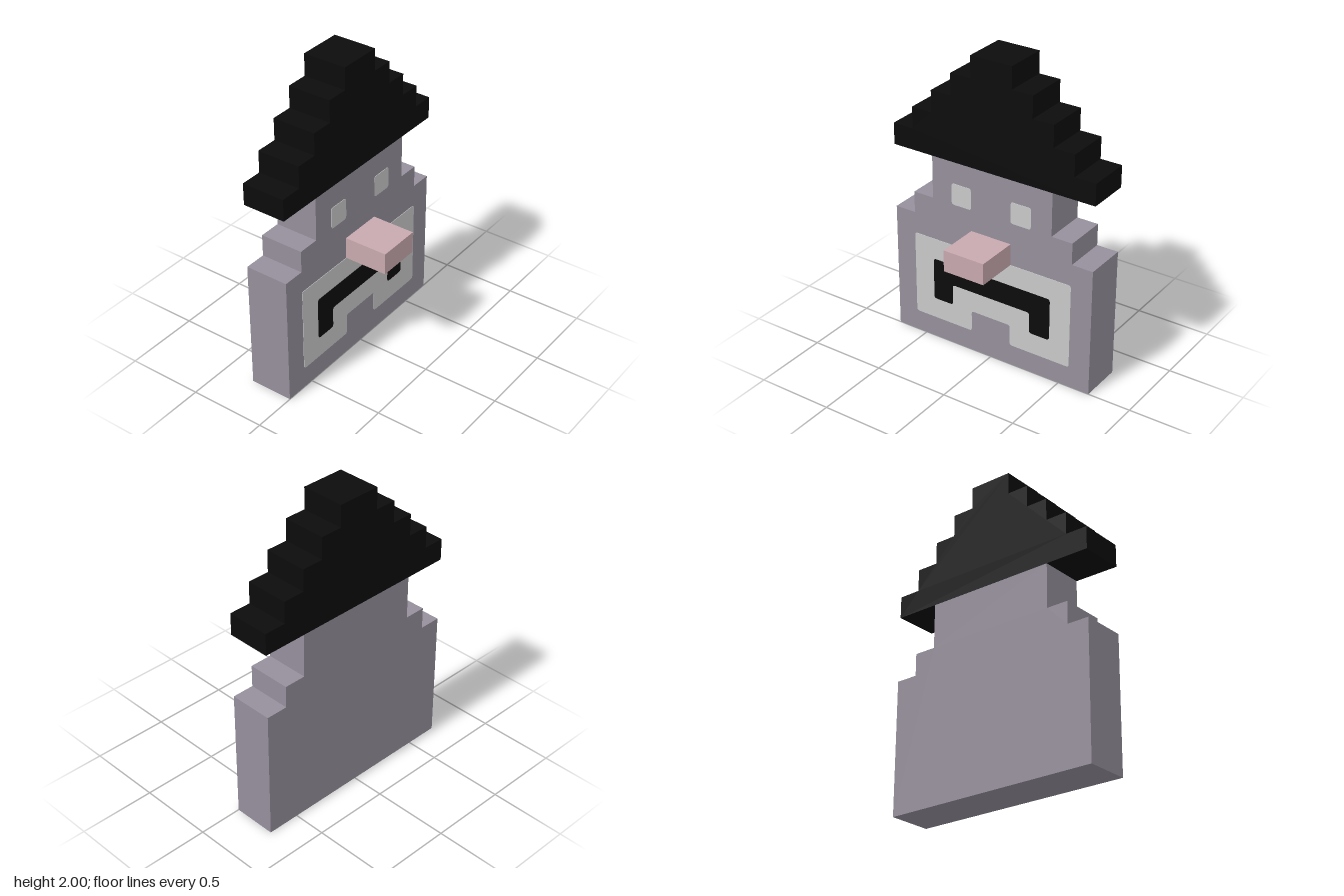
import * as THREE from 'three';

const U = 1 / 7; // one grid block

const material = (name, color) => {
  const m = new THREE.MeshStandardMaterial({ color });
  m.name = name;
  return m;
};

// Mirror a right-hand outline (block units, bottom to top) into a closed symmetric outline
const mirrored = (half) => [
  ...half,
  ...half.slice().reverse().map(([x, y]) => [-x, y]),
].map(([x, y]) => new THREE.Vector2(x * U, y * U));

// Closed shape whose corners are softened by radius r
function softShape(points, r) {
  const shape = new THREE.Shape();
  points.forEach((p, i) => {
    const prev = points[(i + points.length - 1) % points.length];
    const next = points[(i + 1) % points.length];
    const a = p.clone().add(prev.clone().sub(p).setLength(r));
    const b = p.clone().add(next.clone().sub(p).setLength(r));
    if (i === 0) shape.moveTo(a.x, a.y);
    else shape.lineTo(a.x, a.y);
    shape.quadraticCurveTo(p.x, p.y, b.x, b.y);
  });
  shape.closePath();
  return shape;
}

export function createModel() {
  const group = new THREE.Group();
  const skin = material('mauve skin', 0x968f9c);
  const pale = material('pale grey', 0xc9c9c9);
  const black = material('black', 0x0c0c0c);
  const pink = material('pink nose', 0xc8a9ae);

  const add = (name, geometry, mat, x = 0, y = 0, z = 0) => {
    const mesh = new THREE.Mesh(geometry, mat);
    mesh.name = name;
    mesh.position.set(x, y, z);
    group.add(mesh);
  };

  // Two-block-thick stepped slab with its front at z = 0
  const slab = (name, half, mat) => add(name,
    new THREE.ExtrudeGeometry(new THREE.Shape(mirrored(half)), { depth: 2 * U, bevelEnabled: false }),
    mat, 0, 0, -2 * U);

  // Thin painted plate on the face
  const plate = (name, points, mat, depth) => add(name,
    new THREE.ExtrudeGeometry(softShape(points, 0.018), { depth, bevelEnabled: false, curveSegments: 4 }), mat);

  // Head with stepped shoulders
  slab('head', [[5, 0], [5, 6], [4, 6], [4, 7], [3, 7], [3, 9]], skin);

  // Stepped pointed hat
  const steps = [];
  for (let i = 0; i < 5; i++) steps.push([5 - i, 9 + i], [5 - i, 10 + i]);
  slab('hat', steps, black);

  // Nose
  add('nose', new THREE.BoxGeometry(2 * U, U, 2 * U), pink, 0, 5.5 * U, U);

  // Beard and downturned mouth
  plate('beard', mirrored([[1, 2], [1, 1], [4, 1], [4, 5]]), pale, 0.003);
  plate('mouth', mirrored([[2, 3], [2, 2], [3, 2], [3, 4]]), black, 0.006);

  // Eyes
  for (const [name, x] of [['leftEye', 1], ['rightEye', -2]]) {
    const corners = [[x, 7], [x + 1, 7], [x + 1, 8], [x, 8]];
    plate(name, corners.map(([a, b]) => new THREE.Vector2(a * U, b * U)), pale, 0.003);
  }

  return group;
}
